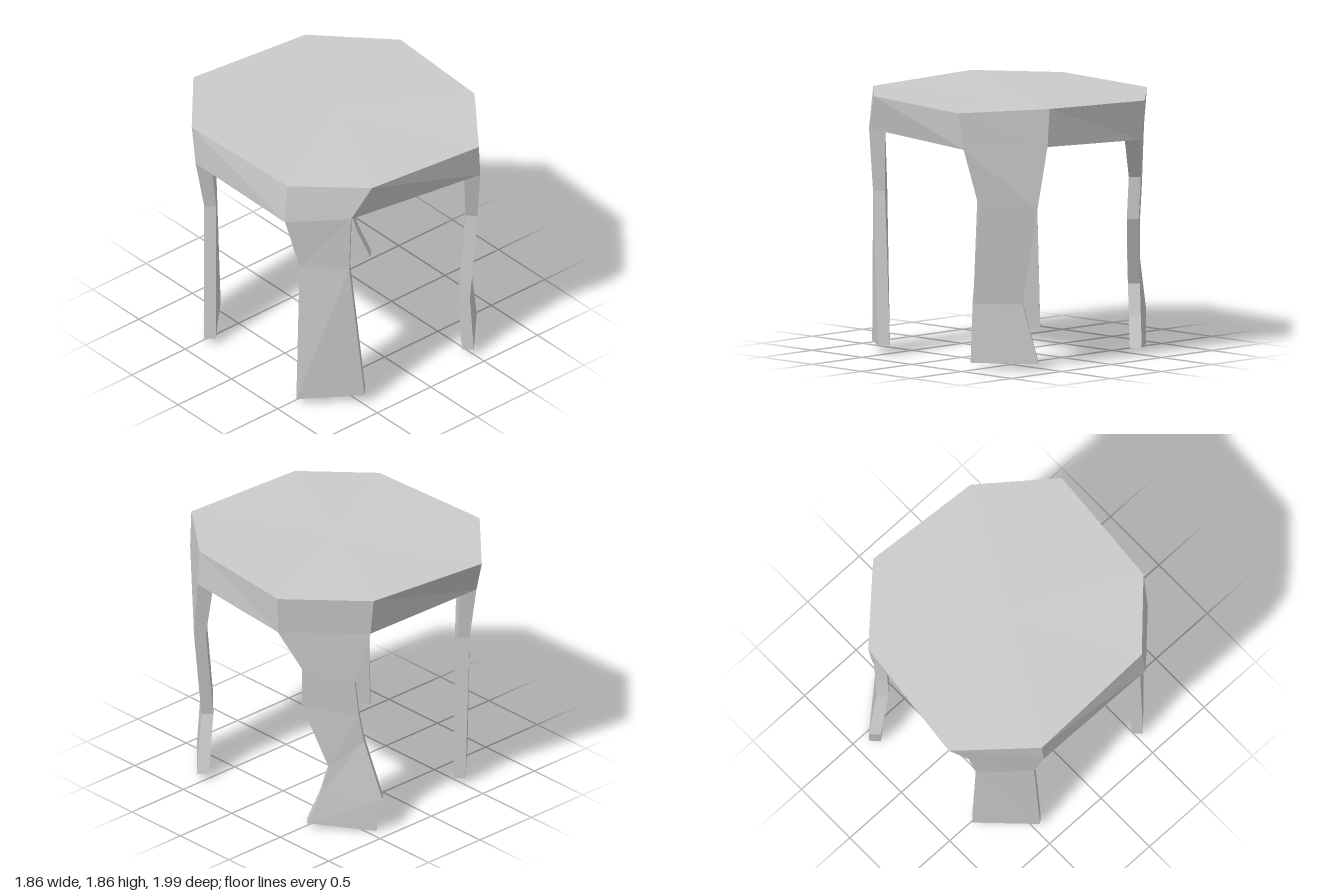
import * as THREE from 'three';

const material = new THREE.MeshStandardMaterial({ color: 0xcccccc, flatShading: true });

// Solid skinned over closed rings of equal corner count, with fanned end caps.
function loft(name, rings) {
  const n = rings[0].length;
  const points = rings.flat();
  const index = [];
  for (let r = 0; r < rings.length - 1; r++) {
    for (let i = 0; i < n; i++) {
      const a = r * n + i, b = r * n + (i + 1) % n;
      index.push(a, b, b + n, a, b + n, a + n);
    }
  }
  [0, rings.length - 1].forEach((r, end) => {
    const centre = [0, 1, 2].map(k => rings[r].reduce((s, p) => s + p[k], 0) / n);
    const c = points.push(centre) - 1;
    for (let i = 0; i < n; i++) {
      const a = r * n + i, b = r * n + (i + 1) % n;
      index.push(c, ...(end ? [a, b] : [b, a]));
    }
  });
  // Turn the faces outward whichever way the rings run
  const v = points.map(p => new THREE.Vector3(...p));
  let volume = 0;
  for (let i = 0; i < index.length; i += 3) {
    volume += v[index[i]].dot(v[index[i + 1]].clone().cross(v[index[i + 2]]));
  }
  if (volume < 0) index.reverse();

  const indexed = new THREE.BufferGeometry();
  indexed.setAttribute('position', new THREE.Float32BufferAttribute(points.flat(), 3));
  indexed.setIndex(index);
  const geometry = indexed.toNonIndexed();
  geometry.computeVertexNormals();
  const mesh = new THREE.Mesh(geometry, material);
  mesh.name = name;
  return mesh;
}

// Plank leg: each level gives its two outer corners; the inner pair is set
// back towards the stool's axis.
function leg(name, levels) {
  return loft(name, levels.map(([a, b], i) => {
    const t = i === 0 ? 0.08 : 0.06;
    const inner = ([x, y, z]) => [x - Math.sign(x) * t, y, z - Math.sign(z) * t];
    return [a, b, inner(b), inner(a)];
  }));
}

export function createModel() {
  const group = new THREE.Group();
  group.name = 'stool';

  // Uneven octagonal seat slab
  const top = [
    [-0.49, 1.84, -1.0], [0.46, 1.84, -0.89], [0.93, 1.84, -0.4], [0.86, 1.86, 0.48],
    [0.46, 1.84, 0.99], [-0.47, 1.86, 0.91], [-0.9, 1.85, 0.49], [-0.93, 1.86, -0.51],
  ];
  const bottom = [
    [-0.56, 1.56, -0.87], [0.46, 1.57, -0.86], [0.91, 1.56, -0.38], [0.86, 1.59, 0.5],
    [0.49, 1.58, 0.97], [-0.6, 1.61, 0.83], [-0.93, 1.56, 0.5], [-0.92, 1.56, -0.48],
  ];
  group.add(loft('seat', [bottom, top]));

  // Four crooked legs, continuing the seat's diagonal sides
  group.add(
    leg('frontLeftLeg', [
      [bottom[4], bottom[3]],
      [[0.55, 1.15, 0.87], [0.83, 1.15, 0.57]],
      [[0.48, 0.47, 0.87], [0.72, 0.46, 0.61]],
      [[0.49, 0.05, 0.9], [0.82, 0.04, 0.55]],
    ]),
    leg('frontRightLeg', [
      [bottom[5], bottom[6]],
      [[-0.59, 1.16, 0.8], [-0.83, 1.16, 0.54]],
      [[-0.49, 0.07, 0.85], [-0.86, 0.04, 0.54]],
    ]),
    leg('backRightLeg', [
      [bottom[0], bottom[7]],
      [[-0.56, 1.15, -0.8], [-0.83, 1.15, -0.49]],
      [[-0.52, 0.04, -0.8], [-0.86, 0.05, -0.46]],
    ]),
    leg('backLeftLeg', [
      [bottom[1], bottom[2]],
      [[0.53, 1.17, -0.77], [0.79, 1.27, -0.5]],
      [[0.5, 0.9, -0.78], [0.78, 0.97, -0.49]],
      [[0.47, 0.69, -0.8], [0.65, 0.48, -0.63]],
      [[0.41, 0.25, -0.93], [0.7, 0.26, -0.59]],
      [[0.44, 0, -0.9], [0.77, 0.04, -0.53]],
    ]),
  );
  return group;
}
